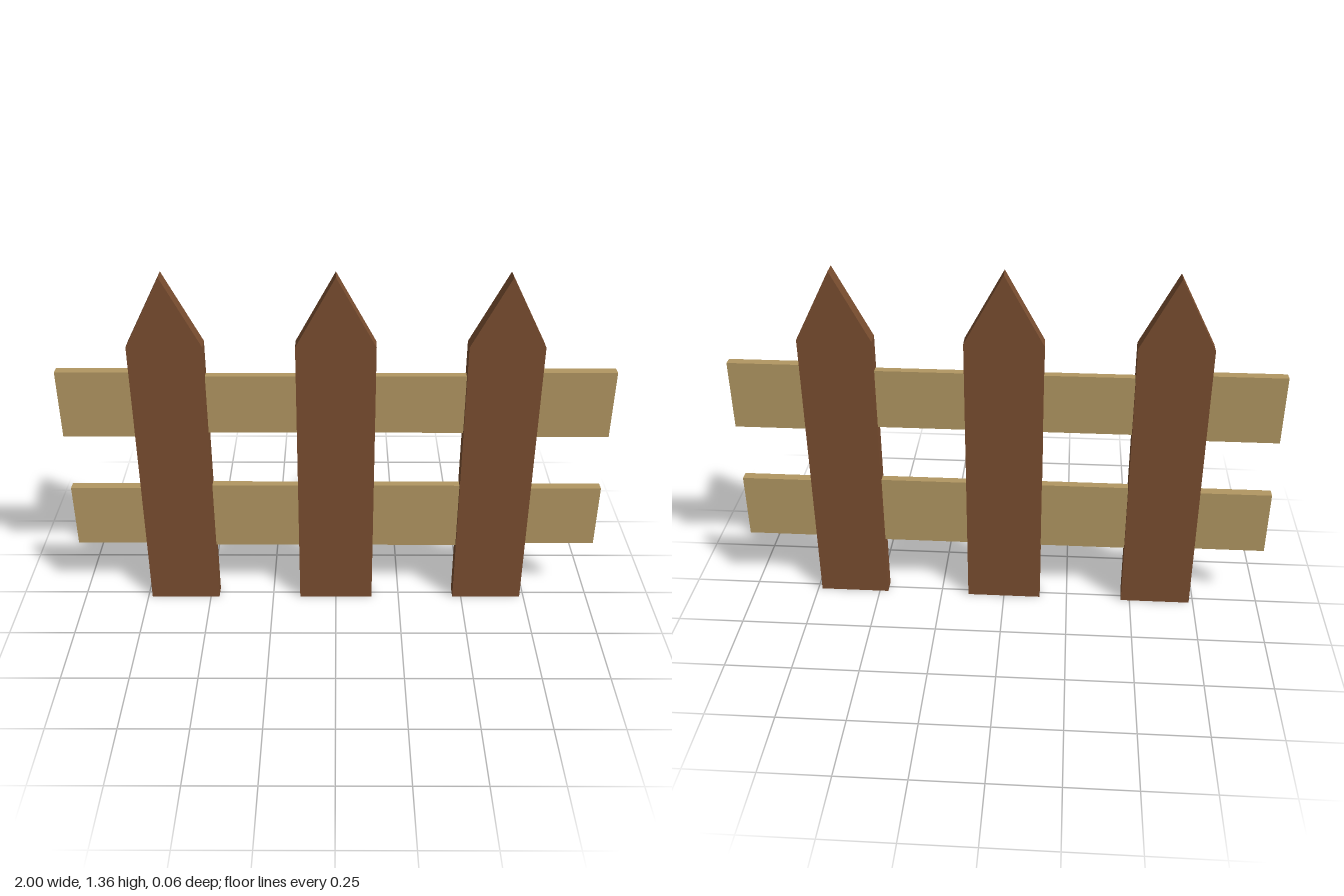
import * as THREE from 'three';

const brown = new THREE.MeshStandardMaterial({ color: 0x7a4e30, flatShading: true });
const tan = new THREE.MeshStandardMaterial({ color: 0xb29762, flatShading: true });

// Pointed board, extruded through its thickness
function picket(name, x, width) {
  const w = width / 2, depth = 0.056;
  const shape = new THREE.Shape([[-w, 0], [w, 0], [w, 1.1], [0, 1.36], [-w, 1.1]]
    .map(([px, py]) => new THREE.Vector2(px, py)));
  const geometry = new THREE.ExtrudeGeometry(shape, { depth, bevelEnabled: false });
  geometry.translate(x, 0, -depth / 2);
  const mesh = new THREE.Mesh(geometry, brown);
  mesh.name = name;
  return mesh;
}

// One length of rail between two x positions and two heights
function rail(name, x0, x1, y0, y1, depth) {
  const mesh = new THREE.Mesh(new THREE.BoxGeometry(x1 - x0, y1 - y0, depth), tan);
  mesh.position.set((x0 + x1) / 2, (y0 + y1) / 2, 0);
  mesh.name = name;
  return mesh;
}

export function createModel() {
  const fence = new THREE.Group();
  fence.name = 'picketFence';

  // Three upright pickets
  fence.add(
    picket('rightPicket', -0.6, 0.268),
    picket('middlePicket', 0, 0.285),
    picket('leftPicket', 0.6, 0.268),
  );

  // Two rails: outer stubs and inner spans differ slightly in height
  const rows = [
    { name: 'upper', outer: [0.735, 0.997, 0.034], inner: [0.75, 0.98, 0.028] },
    { name: 'lower', outer: [0.257, 0.51, 0.036], inner: [0.246, 0.52, 0.03] },
  ];
  for (const { name, outer, inner } of rows) {
    fence.add(
      rail(name + 'RailRightEnd', -1, -0.6, ...outer),
      rail(name + 'RailRightSpan', -0.6, 0, ...inner),
      rail(name + 'RailLeftSpan', 0, 0.6, ...inner),
      rail(name + 'RailLeftEnd', 0.6, 1, ...outer),
    );
  }
  return fence;
}
